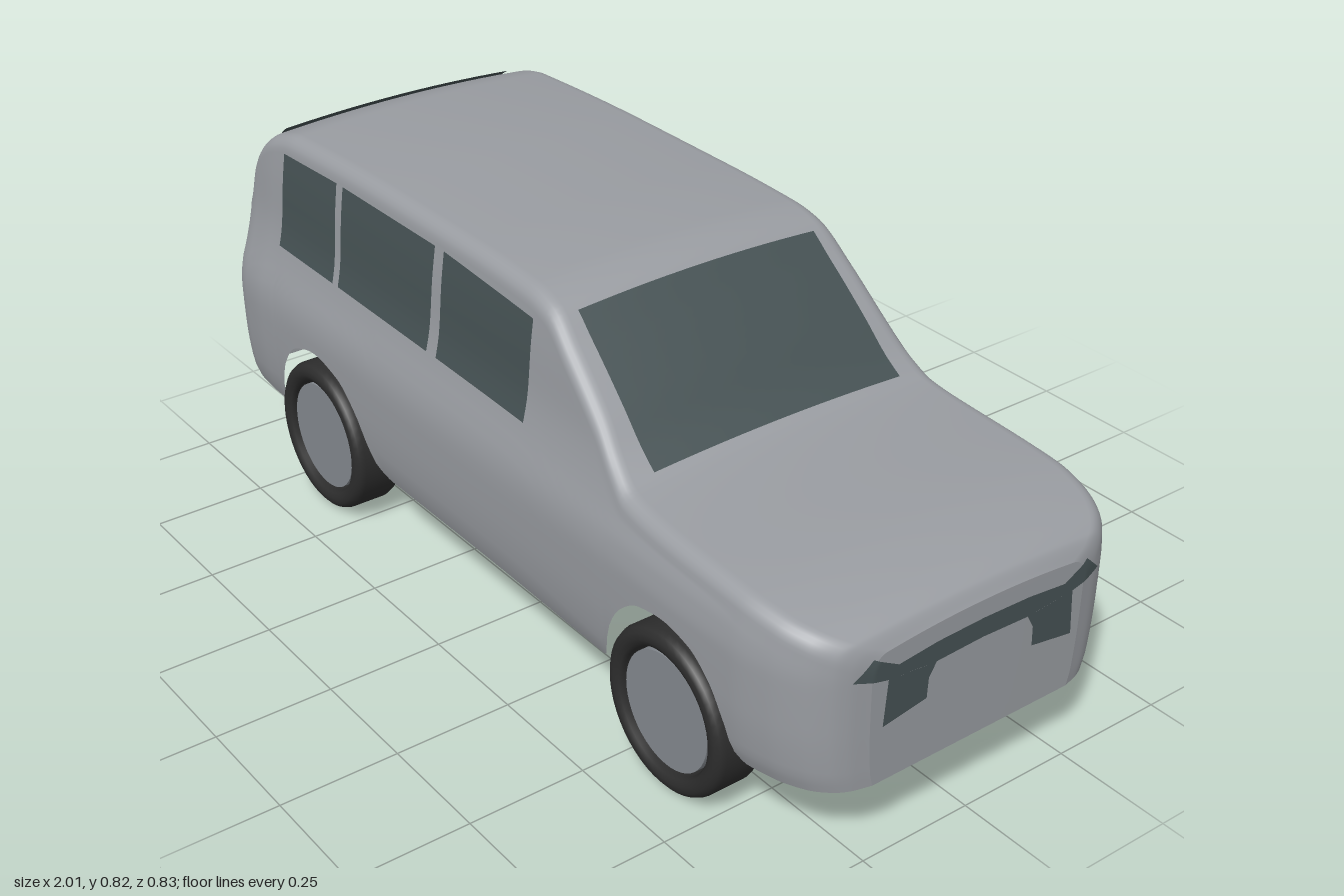
import * as THREE from 'three';

const paint = new THREE.MeshStandardMaterial({ name: 'bodyGrey', color: 0x999ca1, side: THREE.DoubleSide });
const glass = new THREE.MeshStandardMaterial({ name: 'darkGlass', color: 0x465254, side: THREE.DoubleSide });
const rubber = new THREE.MeshStandardMaterial({ name: 'tyreBlack', color: 0x2d2d2d, side: THREE.DoubleSide });
const metal = new THREE.MeshStandardMaterial({ name: 'rimGrey', color: 0x858a90 });

// Smooth monotone interpolation through [x, value] pairs
function curve(p) {
  const s = p.slice(1).map((q, i) => (q[1] - p[i][1]) / (q[0] - p[i][0]));
  const m = p.map((_, i) => {
    if (i === 0) return s[0];
    if (i === p.length - 1) return s[i - 1];
    return s[i - 1] * s[i] <= 0 ? 0 : 2 * s[i - 1] * s[i] / (s[i - 1] + s[i]);
  });
  return x => {
    if (x <= p[0][0]) return p[0][1];
    let i = 0;
    while (i < p.length - 1 && x > p[i + 1][0]) i++;
    if (i === p.length - 1) return p[i][1];
    const h = p[i + 1][0] - p[i][0], t = (x - p[i][0]) / h, t2 = t * t, t3 = t2 * t;
    return p[i][1] * (2 * t3 - 3 * t2 + 1) + p[i + 1][1] * (3 * t2 - 2 * t3)
      + h * (m[i] * (t3 - 2 * t2 + t) + m[i + 1] * (t3 - t2));
  };
}

// Body curves: roof line, sill with wheel arches, plan width, side slope
const top = curve([[-1, 0.57], [-0.985, 0.61], [-0.965, 0.645], [-0.94, 0.72], [-0.91, 0.762], [-0.86, 0.793],
  [-0.78, 0.812], [-0.4, 0.823], [-0.1, 0.822], [0.1, 0.815], [0.17, 0.8], [0.25, 0.738], [0.35, 0.65], [0.42, 0.583],
  [0.47, 0.552], [0.55, 0.541], [0.8, 0.526], [0.92, 0.506], [0.98, 0.482], [1, 0.455]]);
const sill = curve([[-0.805, 0.165], [-0.79, 0.22], [-0.76, 0.29], [-0.71, 0.345], [-0.62, 0.37], [-0.53, 0.35],
  [-0.46, 0.29], [-0.42, 0.215], [-0.395, 0.18], [-0.36, 0.165], [0.41, 0.165], [0.43, 0.19], [0.45, 0.255],
  [0.49, 0.32], [0.55, 0.36], [0.62, 0.37], [0.69, 0.355], [0.75, 0.305], [0.785, 0.235], [0.8, 0.185], [0.82, 0.165]]);
const plan = curve([[-1, 0.33], [-0.99, 0.37], [-0.97, 0.39], [-0.93, 0.4], [-0.85, 0.406], [0, 0.402],
  [0.6, 0.408], [0.8, 0.403], [0.88, 0.388], [0.94, 0.36], [0.975, 0.325], [0.99, 0.295], [1, 0.255]]);
const slope = curve([[0.165, 0.94], [0.2, 0.97], [0.3, 0.995], [0.4, 1], [0.45, 0.985], [0.5, 0.945], [0.55, 0.91],
  [0.6, 0.885], [0.7, 0.86], [0.8, 0.825]]);

// Shoulder where the side turns into the roof or bonnet
function shoulder(x) {
  const r = 0.037, crown = 0.012, y = top(x) - crown - r;
  return { r, crown, y, z: plan(x) * slope(y) - r };
}
const roofY = (x, z) => top(x) - shoulder(x).crown * (z / shoulder(x).z) ** 2;
function halfWidth(x, y) {
  const s = shoulder(x);
  if (y <= s.y) return plan(x) * slope(y);
  if (y < s.y + s.r) return s.z + Math.sqrt(s.r ** 2 - (y - s.y) ** 2);
  return y < top(x) ? s.z * Math.sqrt((top(x) - y) / s.crown) : 0;
}
function noseX(y, z) {
  let lo = 0.85, hi = 1;
  if (halfWidth(1, y) >= Math.abs(z)) return 1;
  for (let i = 0; i < 25; i++) {
    const mid = (lo + hi) / 2;
    if (halfWidth(mid, y) >= Math.abs(z)) lo = mid; else hi = mid;
  }
  return lo;
}

// Surface from a grid of points
function gridMesh(name, rows, material) {
  const n = rows[0].length, index = [];
  for (let i = 0; i < rows.length - 1; i++) {
    for (let j = 0; j < n - 1; j++) {
      const a = i * n + j, b = a + n;
      index.push(a, b, b + 1, a, b + 1, a + 1);
    }
  }
  const g = new THREE.BufferGeometry();
  g.setAttribute('position', new THREE.Float32BufferAttribute(rows.flat(2), 3));
  g.setIndex(index);
  g.computeVertexNormals();
  const mesh = new THREE.Mesh(g, material);
  mesh.name = name;
  return mesh;
}

// One cross-section, from the left sill over the roof to the right sill
function section(x) {
  const s = shoulder(x), half = [], b = sill(x);
  for (let i = 0; i <= 18; i++) {
    const y = b + (s.y - b) * i / 18;
    half.push([x, y, plan(x) * slope(y)]);
  }
  for (let i = 1; i <= 6; i++) {
    const a = i / 6 * Math.PI / 2;
    half.push([x, s.y + s.r * Math.sin(a), s.z + s.r * Math.cos(a)]);
  }
  for (let i = 1; i <= 6; i++) {
    const z = s.z * (1 - i / 6);
    half.push([x, roofY(x, z), z]);
  }
  return [...half, ...half.slice(0, -1).reverse().map(([px, y, z]) => [px, y, -z])];
}

function buildBody() {
  const rows = [];
  for (let i = 0; i <= 240; i++) rows.push(section(Math.sin((i / 120 - 1) * Math.PI / 2)));
  // Close the nose and tail by folding the end sections to the centre line
  const fold = row => row.map(([x, y]) => [x, y, 0]);
  return gridMesh('body', [fold(rows[0]), ...rows, fold(rows[240])], paint);
}

// Thin pane laid on the body; corners are a quad in (u, v), seen from inside too
function pane(group, name, [a, b, c, d], place) {
  const n = 14;
  for (const lift of [0.005, -0.005]) {
    const rows = [];
    for (let i = 0; i <= n; i++) {
      const row = [];
      for (let j = 0; j <= n; j++) {
        const s = i / n, t = j / n;
        const mix = k => (a[k] * (1 - s) + b[k] * s) * (1 - t) + (d[k] * (1 - s) + c[k] * s) * t;
        row.push(place(mix(0), mix(1), lift));
      }
      rows.push(row);
    }
    group.add(gridMesh(name, rows, glass));
  }
}

function buildWheel(x, side) {
  const wheel = new THREE.Group();
  wheel.name = 'wheel';
  const half = [[0.126, 0.045], [0.132, 0.053], [0.143, 0.058], [0.155, 0.057], [0.164, 0.05], [0.169, 0.038]];
  const profile = [...half.map(([r, y]) => [r, -y]), ...half.slice().reverse(), [0.126, -0.045]];
  const tyre = new THREE.Mesh(new THREE.LatheGeometry(profile.map(p => new THREE.Vector2(...p)), 48), rubber);
  tyre.name = 'tyre';
  const rim = new THREE.Mesh(new THREE.CylinderGeometry(0.12, 0.12, 0.09, 48), metal);
  rim.name = 'rim';
  wheel.add(tyre, rim);
  wheel.rotation.x = side * Math.PI / 2;
  wheel.position.set(x, 0.17, side * 0.357);
  return wheel;
}

export function createModel() {
  const car = new THREE.Group();
  car.name = 'car';
  car.add(buildBody());

  for (const side of [1, -1]) {
    for (const x of [-0.61, 0.625]) car.add(buildWheel(x, side));

    // Side windows
    const onSide = (x, y, lift) => [x, y, side * (halfWidth(x, y) + lift)];
    const quads = [
      [[-0.8, 0.552], [-0.572, 0.55], [-0.578, 0.77], [-0.797, 0.762]],
      [[-0.55, 0.55], [-0.203, 0.545], [-0.2, 0.77], [-0.553, 0.77]],
      [[-0.168, 0.545], [0.142, 0.54], [0.142, 0.752], [-0.168, 0.77]],
    ];
    for (const q of quads) pane(car, 'sideWindow', q, onSide);

    // Grille bar, leg, rounded inner corner and lamp
    const onNose = (z, y, lift) => [noseX(y, z) + lift, y, side * z];
    const trim = {
      grilleBar: [[0, 0.38], [0.11, 0.376], [0.11, 0.418], [0, 0.421]],
      grilleShoulder: [[0.11, 0.376], [0.222, 0.386], [0.2, 0.409], [0.11, 0.418]],
      grilleLeg: [[0.128, 0.306], [0.229, 0.29], [0.222, 0.386], [0.125, 0.377]],
      grilleCorner: [[0.128, 0.345], [0.13, 0.345], [0.13, 0.378], [0.11, 0.376]],
      headlamp: [[0.222, 0.386], [0.295, 0.404], [0.256, 0.44], [0.2, 0.409]],
    };
    for (const [name, q] of Object.entries(trim)) pane(car, name, q, onNose);
  }

  // Windscreen and rear window
  pane(car, 'windscreen', [[0.2, -0.285], [0.452, -0.3], [0.452, 0.3], [0.2, 0.285]],
    (x, z, lift) => [x + lift / 2, roofY(x, z) + lift, z]);
  pane(car, 'rearWindow', [[-0.99, -0.28], [-0.88, -0.29], [-0.88, 0.29], [-0.99, 0.28]],
    (x, z, lift) => [x - lift, roofY(x, z) + lift, z]);
  return car;
}
